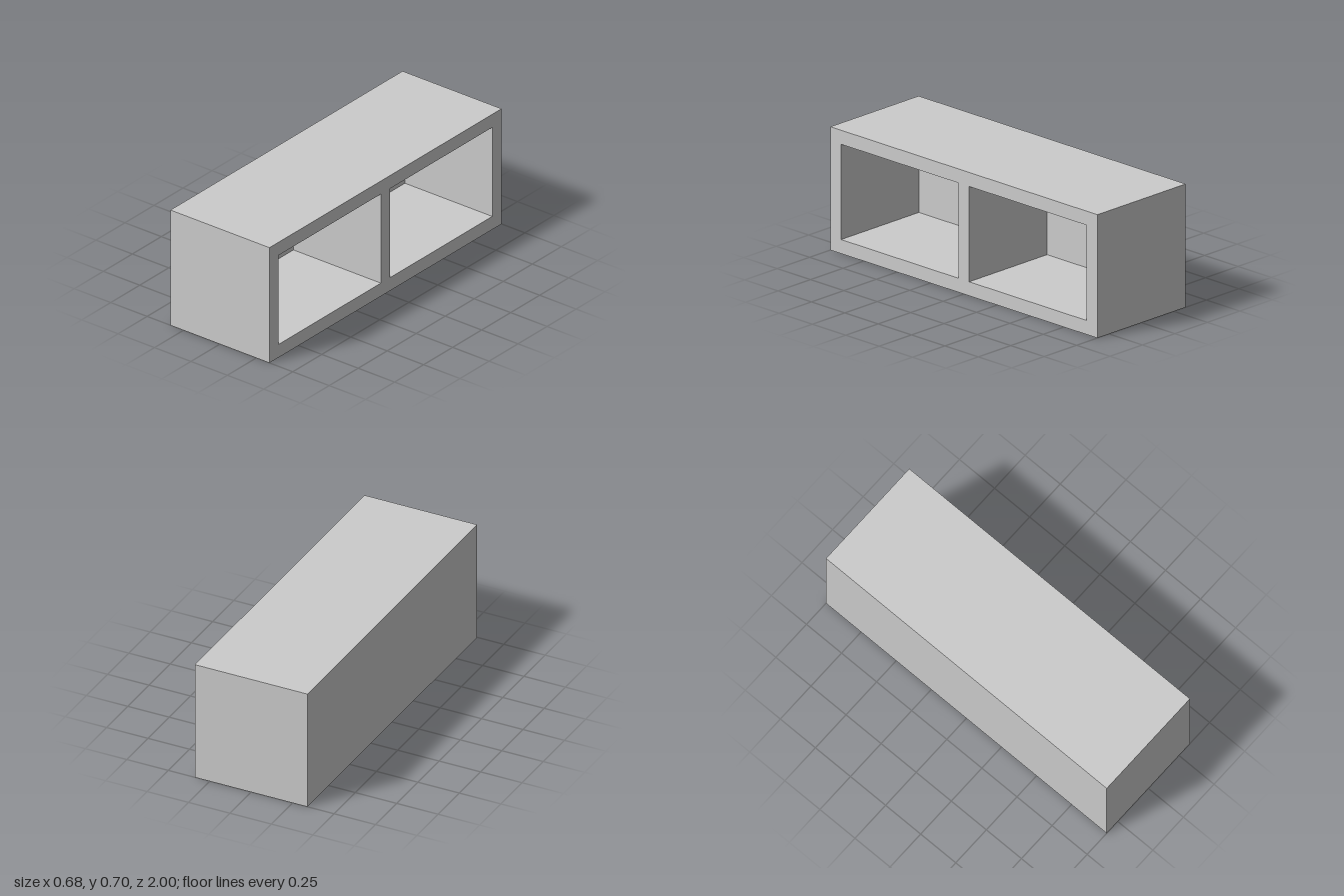
import * as THREE from 'three';

const W = 0.68, H = 0.704, L = 2; // x, y, z extents
const T = 0.08;                   // panel thickness

function rect(path, x0, y0, x1, y1) {
  path.moveTo(x0, y0);
  path.lineTo(x1, y0);
  path.lineTo(x1, y1);
  path.lineTo(x0, y1);
  path.closePath();
  return path;
}

export function createModel() {
  const group = new THREE.Group();
  group.name = 'openCabinet';
  const material = new THREE.MeshStandardMaterial({ color: 0xcccccc, flatShading: true });

  // Frame: top, bottom, ends and middle divider around two open compartments
  const profile = rect(new THREE.Shape(), -L / 2, 0, L / 2, H);
  for (const side of [-1, 1]) {
    const a = side * T / 2, b = side * (L / 2 - T);
    profile.holes.push(rect(new THREE.Path(), Math.min(a, b), T, Math.max(a, b), H - T));
  }
  const frameGeometry = new THREE.ExtrudeGeometry(profile, { depth: W - T, bevelEnabled: false });
  frameGeometry.rotateY(Math.PI / 2);
  frameGeometry.translate(-W / 2 + T, 0, 0);
  const frame = new THREE.Mesh(frameGeometry, material);
  frame.name = 'frame';
  group.add(frame);

  // Panel closing the compartments on the -x side
  const backPanel = new THREE.Mesh(new THREE.BoxGeometry(T, H, L), material);
  backPanel.name = 'backPanel';
  backPanel.position.set(-W / 2 + T / 2, H / 2, 0);
  group.add(backPanel);

  return group;
}
